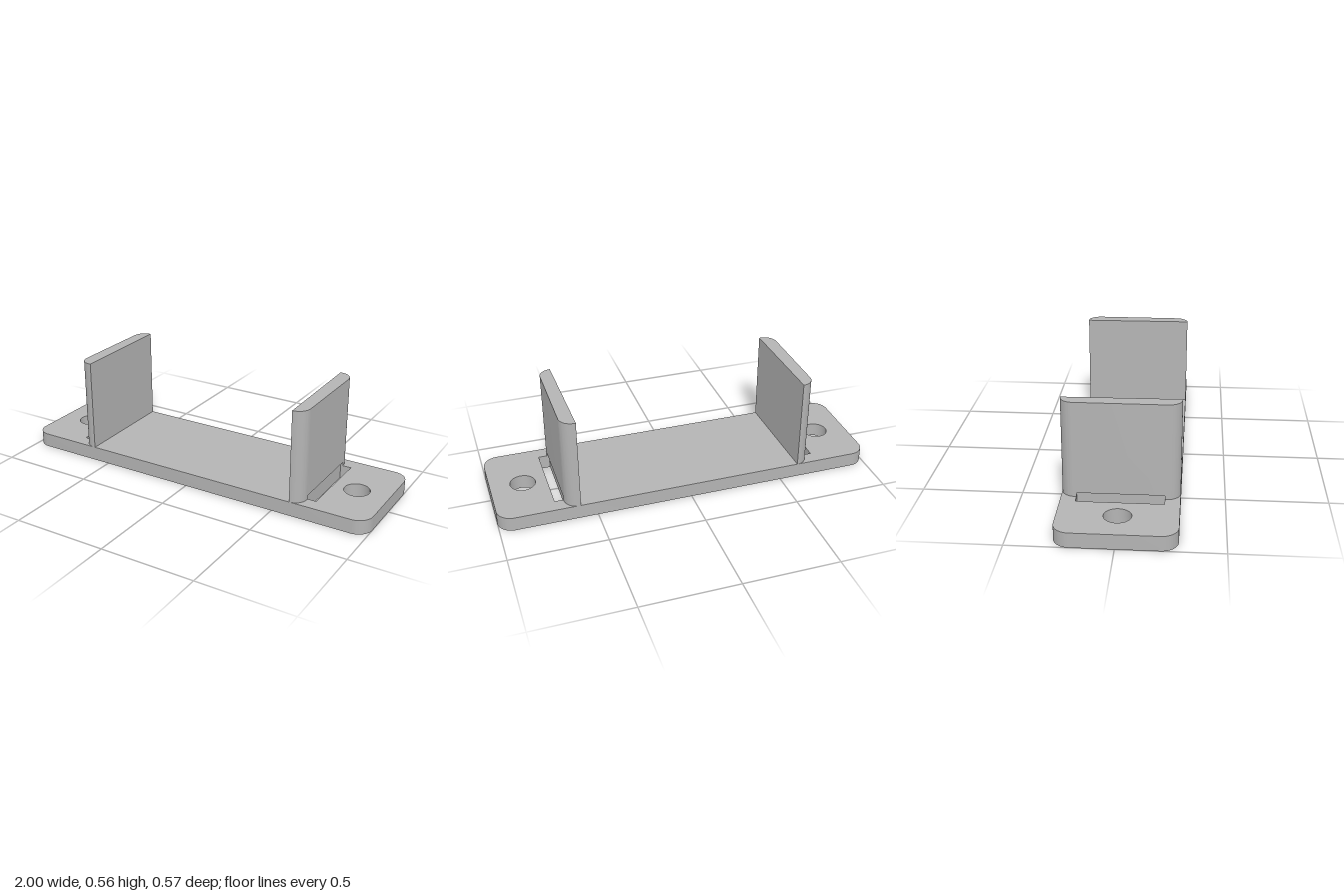
import * as THREE from 'three';
import { toCreasedNormals } from 'three/addons/utils/BufferGeometryUtils.js';

const HALF_D = 0.284;   // half depth of plate and walls
const PLATE_H = 0.075;
const NOTCH_H = 0.02;   // height of the strap recess above the plate
const TOP = 0.558;
const SLOT = { inner: 0.648, outer: 0.706, half: 0.21 };

// Extrude a plan outline (x, -z) upward from y0 to y1
function slab(shape, y0, y1) {
  const geo = new THREE.ExtrudeGeometry(shape, { depth: y1 - y0, bevelEnabled: false, curveSegments: 16 });
  geo.rotateX(-Math.PI / 2);
  geo.translate(0, y0, 0);
  return toCreasedNormals(geo, 0.6);
}

function basePlateShape() {
  const w = 1, d = HALF_D, r = 0.08;
  const s = new THREE.Shape();
  s.moveTo(-w + r, -d);
  s.absarc(w - r, -d + r, r, -Math.PI / 2, 0);
  s.absarc(w - r, d - r, r, 0, Math.PI / 2);
  s.absarc(-w + r, d - r, r, Math.PI / 2, Math.PI);
  s.absarc(-w + r, -d + r, r, Math.PI, Math.PI * 1.5);
  for (const side of [-1, 1]) {
    // screw hole and strap slot
    s.holes.push(new THREE.Path().absarc(side * 0.83, 0, 0.066, 0, Math.PI * 2, true));
    const { inner, outer, half } = SLOT;
    s.holes.push(new THREE.Path([[inner, -half], [inner, half], [outer, half], [outer, -half]]
      .map(([x, z]) => new THREE.Vector2(side * x, z))));
  }
  return s;
}

// Wall plan with rounded outer corners, optionally notched on the outer face
function wallShape(notched) {
  const x0 = 0.586, x1 = 0.66, d = HALF_D, r = 0.065;
  const s = new THREE.Shape();
  s.moveTo(x0, -d);
  s.absarc(x1 - r, -d + r, r, -Math.PI / 2, 0);
  if (notched) {
    s.lineTo(x1, -SLOT.half);
    s.lineTo(SLOT.inner, -SLOT.half);
    s.lineTo(SLOT.inner, SLOT.half);
    s.lineTo(x1, SLOT.half);
  }
  s.absarc(x1 - r, d - r, r, 0, Math.PI / 2);
  s.lineTo(x0, d);
  s.closePath();
  return s;
}

export function createModel() {
  const model = new THREE.Group();
  model.name = 'mountingBracket';
  const grey = new THREE.MeshStandardMaterial({ color: 0xb4b4b4 });
  grey.name = 'grey';

  const add = (parent, name, geo) => {
    const mesh = new THREE.Mesh(geo, grey);
    mesh.name = name;
    parent.add(mesh);
  };

  add(model, 'basePlate', slab(basePlateShape(), 0, PLATE_H));

  // Upright walls: notched foot below, full section above
  const foot = slab(wallShape(true), PLATE_H, PLATE_H + NOTCH_H);
  const panel = slab(wallShape(false), PLATE_H + NOTCH_H, TOP);
  for (const [name, turn] of [['leftWall', 0], ['rightWall', Math.PI]]) {
    const wall = new THREE.Group();
    wall.name = name;
    wall.rotation.y = turn;
    add(wall, 'wallFoot', foot);
    add(wall, 'wallPanel', panel);
    model.add(wall);
  }
  return model;
}
